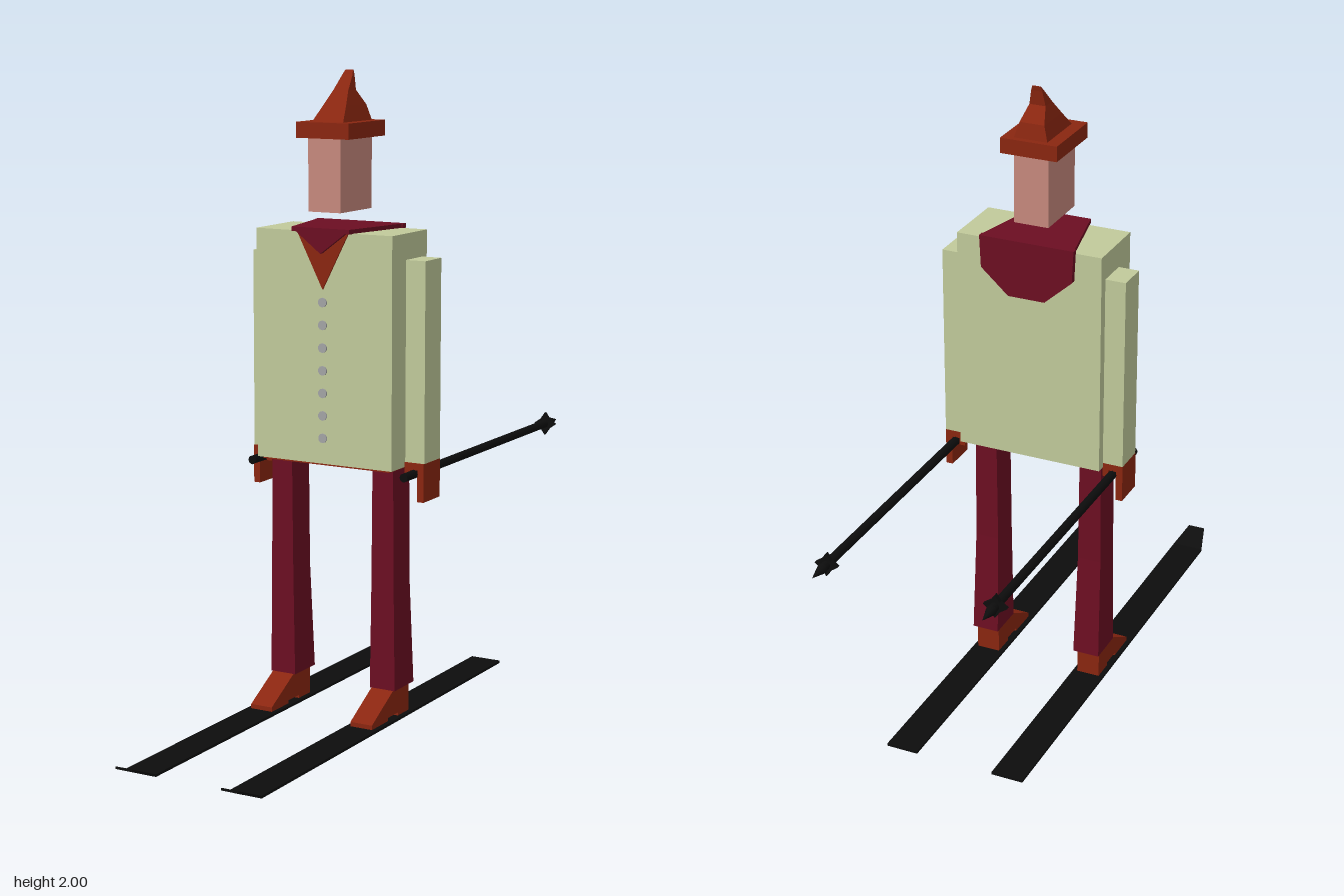
import * as THREE from 'three';

const mat = (name, color) => Object.assign(new THREE.MeshStandardMaterial({ color }), { name });

export function createModel() {
  const jacket = mat('jacket green', 0xc1ca9b);
  const skin = mat('skin', 0xc7897d);
  const brown = mat('rust brown', 0x8a2610);
  const maroon = mat('maroon', 0x6c0e22);
  const black = mat('black', 0x0d0d0d);
  const grey = mat('button grey', 0xa3a4a6);

  const root = new THREE.Group();
  root.name = 'skier';
  const add = (name, geo, material, parent = root) => {
    const m = new THREE.Mesh(geo, material);
    m.name = name;
    parent.add(m);
    return m;
  };
  // box from its min and max on each axis
  const box = (x0, x1, y0, y1, z0, z1) =>
    new THREE.BoxGeometry(x1 - x0, y1 - y0, z1 - z0)
      .translate((x0 + x1) / 2, (y0 + y1) / 2, (z0 + z1) / 2);
  // outline in x,y extruded from z0 to z1
  const plate = (pts, z0, z1) =>
    new THREE.ExtrudeGeometry(new THREE.Shape(pts.map(p => new THREE.Vector2(...p))),
      { depth: z1 - z0, bevelEnabled: false }).translate(0, 0, z0);
  // outline in z,y extruded across x, centred on x = 0
  const sidePlate = (pts, width) =>
    plate(pts.map(([z, y]) => [-z, y]), -width / 2, width / 2).rotateY(Math.PI / 2);
  // loft of rectangles, bottom to top: [y, half width, back z, front z, y offset at front]
  const loft = (rows) => {
    const pos = [], idx = [];
    for (const [y, w, b, f] of rows) pos.push(-w, y, f, w, y, f, w, y, b, -w, y, b);
    const n = rows.length;
    for (let r = 0; r < n - 1; r++) for (let i = 0; i < 4; i++) {
      const a = r * 4 + i, c = r * 4 + (i + 1) % 4;
      idx.push(a, c, c + 4, a, c + 4, a + 4);
    }
    const t = (n - 1) * 4;
    idx.push(0, 3, 2, 0, 2, 1, t, t + 1, t + 2, t, t + 2, t + 3);
    const g = new THREE.BufferGeometry();
    g.setAttribute('position', new THREE.Float32BufferAttribute(pos, 3));
    g.setIndex(idx);
    const flat = g.toNonIndexed();
    flat.computeVertexNormals();
    return flat;
  };

  // Jacket, its underside and the shirt triangle
  add('jacket', box(-0.238, 0.238, 0.805, 1.52, -0.072, 0.147), jacket);
  add('jacketUnderside', box(-0.225, 0.225, 0.798, 0.806, -0.06, 0.135), brown);
  add('shirtFront', plate([[-0.09, 1.52], [0, 1.345], [0.09, 1.52]], 0.146, 0.152), brown);
  for (let i = 0; i < 7; i++) {
    add('button', new THREE.CylinderGeometry(0.015, 0.015, 0.006, 10)
      .rotateX(Math.PI / 2).translate(-0.002, 1.305 - i * 0.07, 0.148), grey);
  }

  // Neck scarf: top sheet, front point and back flap
  const scarf = new THREE.Group();
  scarf.name = 'scarf';
  root.add(scarf);
  add('scarfTop', plate([[-0.155, 0.09], [-0.1, -0.165], [0.1, -0.165], [0.155, 0.09]], 0, 0.014)
    .rotateX(-Math.PI / 2).translate(0, 1.519, 0), maroon, scarf);
  add('scarfFront', plate([[-0.1, 1.53], [0, 1.455], [0.1, 1.53]], 0.147, 0.165), maroon, scarf);
  add('scarfBack', plate([[-0.155, 1.533], [-0.15, 1.43], [-0.06, 1.35], [0.06, 1.35],
    [0.15, 1.43], [0.155, 1.533]], -0.09, -0.071), maroon, scarf);

  // Head and peaked hat
  add('head', box(-0.057, 0.055, 1.578, 1.8, -0.054, 0.138), skin);
  add('hatBrim', box(-0.093, 0.09, 1.8, 1.848, -0.075, 0.15), brown);
  add('hatCrown', loft([
    [1.848, 0.054, -0.056, 0.12],
    [1.895, 0.04, -0.046, 0.078],
    [1.94, 0.026, -0.007, 0.04],
    [1.985, 0.018, -0.012, 0],
    [2.0, 0.013, -0.015, -0.011],
  ]), brown);

  for (const s of [-1, 1]) {
    const side = new THREE.Group();
    side.name = s > 0 ? 'leftSide' : 'rightSide';
    root.add(side);

    // Arm and hand curled over the pole
    const ax = s * 0.27;
    add('arm', box(-0.034, 0.034, 0.82, 1.44, -0.042, 0.06), jacket, side).position.x = ax;
    add('hand', plate([[-0.033, 0.82], [-0.033, 0.775], [-0.014, 0.775], [-0.014, 0.798],
      [0.012, 0.798], [0.012, 0.7], [0.034, 0.7], [0.034, 0.82]].map(([x, y]) => [x * s, y]),
      -0.042, 0.064), brown, side).position.x = ax;

    // Ski pole with star basket and pointed tip
    const pole = new THREE.Group();
    pole.name = 'skiPole';
    pole.position.set(ax, 0.786, 0);
    side.add(pole);
    add('poleShaft', new THREE.CylinderGeometry(0.014, 0.014, 1.04, 8)
      .rotateX(Math.PI / 2).translate(0, 0, -0.39), black, pole);
    add('poleTip', new THREE.ConeGeometry(0.017, 0.06, 8)
      .rotateX(-Math.PI / 2).translate(0, 0, -0.935), black, pole);
    const star = [];
    for (let i = 0; i < 8; i++) {
      const r = i % 2 ? 0.022 : 0.038, a = i * Math.PI / 4;
      star.push([r * Math.cos(a), r * Math.sin(a)]);
    }
    add('poleBasket', plate(star, -0.884, -0.871), black, pole);

    // Flared trouser leg, boot and ski
    const foot = new THREE.Group();
    foot.name = 'legAndSki';
    foot.position.x = s * 0.18 - 0.002;
    side.add(foot);
    add('leg', loft([
      [0.098, 0.044, -0.03, 0.093],
      [0.44, 0.039, -0.01, 0.093],
      [0.81, 0.036, -0.01, 0.093],
    ]), maroon, foot);
    add('boot', sidePlate([[-0.01, 0.01], [0.06, 0.01], [0.06, 0.02], [0.125, 0.02],
      [0.125, 0.01], [0.225, 0.01], [0.225, 0.024], [0.09, 0.1], [-0.01, 0.1]], 0.076), brown, foot);
    const ski = new THREE.BoxGeometry(0.104, 0.008, 1.6, 1, 1, 2).translate(0, 0.006, 0.17);
    const p = ski.attributes.position;
    for (let i = 0; i < p.count; i++) {
      // middle row becomes the bend, front row the raised narrow tip
      if (Math.abs(p.getZ(i) - 0.17) < 0.01) p.setZ(i, 0.885);
      else if (p.getZ(i) > 0.9) p.setXYZ(i, p.getX(i) * 0.55, p.getY(i) + 0.036, 0.97);
    }
    const skiFlat = ski.toNonIndexed();
    skiFlat.computeVertexNormals();
    add('ski', skiFlat, black, foot);
  }
  return root;
}
